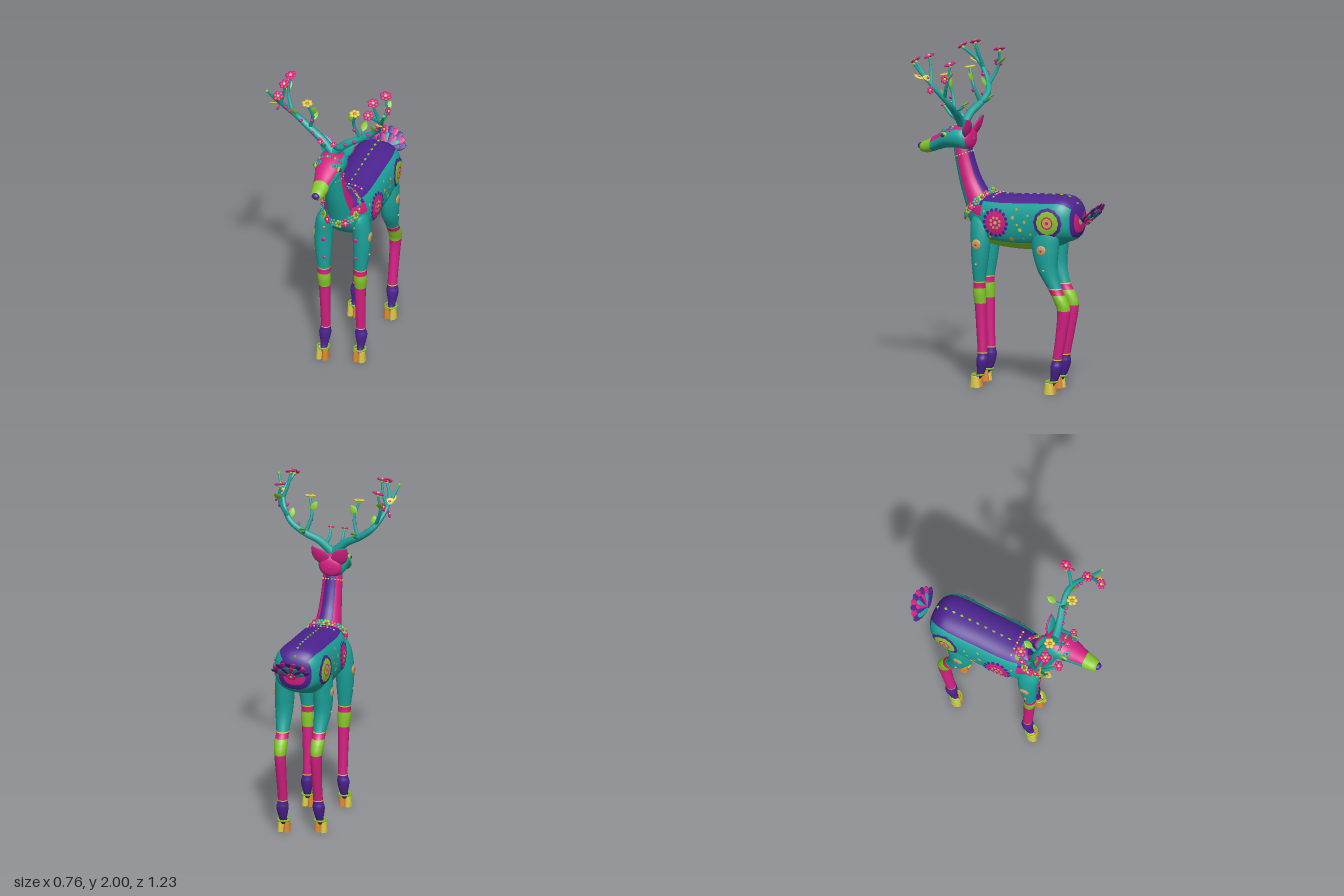
import * as THREE from 'three';

const mat = {};
const colours = { teal: 0x1ba39b, pink: 0xd42082, purple: 0x4c2390, lime: 0x86c82a, yellow: 0xdccb48, orange: 0xe08a2c, tan: 0xcfa45c };
for (const [name, color] of Object.entries(colours)) Object.assign(mat[name] = new THREE.MeshStandardMaterial({ color }), { name });
const V = (x, y, z) => new THREE.Vector3(x, y, z);
const UP = V(0, 1, 0), TURN = Math.PI * 2;

function group(parent, name) {
  const g = new THREE.Group();
  g.name = name;
  parent.add(g);
  return g;
}
function add(parent, name, geo, material, pos = [0, 0, 0], scale = [1, 1, 1]) {
  const m = new THREE.Mesh(geo, mat[material] || material);
  m.name = name;
  m.position.set(...pos);
  m.scale.set(...scale);
  parent.add(m);
  return m;
}

// Catmull-Rom resampling of station rows
function smooth(rows, steps) {
  const at = i => rows[Math.max(0, Math.min(rows.length - 1, i))];
  return Array.from({ length: steps + 1 }, (_, k) => {
    const f = k / steps * (rows.length - 1), i = Math.min(Math.floor(f), rows.length - 2), t = f - i;
    return rows[0].map((_, c) => {
      const [a, b, d, e] = [at(i - 1)[c], at(i)[c], at(i + 1)[c], at(i + 2)[c]];
      return 0.5 * (2 * b + (d - a) * t + (2 * a - 5 * b + 4 * d - e) * t * t + (3 * b - a - 3 * d + e) * t ** 3);
    });
  });
}

// Skin over rings [x, y, z, radiusX, radiusU]; tilt turns U from y towards z
function loft(parent, name, rings, n, tilt, power, paint) {
  const pos = [], faces = {}, pw = v => Math.sign(v) * Math.abs(v) ** (2 / power);
  rings.forEach(([x, y, z, rx, ru], i) => {
    for (let j = 0; j < n; j++) {
      const a = j / n * TURN, u = pw(Math.sin(a)) * Math.max(ru, 0.002);
      pos.push(x + pw(Math.cos(a)) * Math.max(rx, 0.002), y + u * Math.cos(tilt), z + u * Math.sin(tilt));
      if (i === rings.length - 1) continue;
      const next = rings[i + 1], A = i * n + j, B = i * n + (j + 1) % n;
      const key = paint(Math.sin((j + 0.5) / n * TURN), (y + next[1]) / 2, (z + next[2]) / 2);
      (faces[key] ||= []).push(A, B, A + n, B, B + n, A + n);
    }
  });
  const geo = new THREE.BufferGeometry(), keys = Object.keys(faces);
  geo.setAttribute('position', new THREE.Float32BufferAttribute(pos, 3));
  geo.setIndex(keys.flatMap(k => faces[k]));
  let start = 0;
  keys.forEach((k, i) => { geo.addGroup(start, faces[k].length, i); start += faces[k].length; });
  geo.computeVertexNormals();
  add(parent, name, geo, keys.map(k => mat[k]));
}

const ball = new THREE.SphereGeometry(1, 16, 12), bead = new THREE.SphereGeometry(1, 8, 6);
const dot = (parent, name, colour, pos, r) => add(parent, name, bead, colour, pos, [r, r, r]);
// Pointed leaf from y = 0 to 1
const leafGeo = new THREE.SphereGeometry(1, 12, 10);
for (let i = 0, p = leafGeo.attributes.position; i < p.count; i++) {
  const y = p.getY(i), k = Math.sqrt(Math.max(0, 1 - y * y));
  p.setXYZ(i, p.getX(i) * k, (y + 1) / 2, p.getZ(i) * k);
}
leafGeo.computeVertexNormals();

function flower(parent, name, pos, dir, r, petal, heart) {
  const g = group(parent, name);
  for (let i = 0; i < 6; i++) {
    const a = i / 6 * TURN;
    add(g, 'petal', bead, petal, [Math.cos(a) * r * 0.62, r * 0.12, Math.sin(a) * r * 0.62], [r * 0.38, r * 0.2, r * 0.38]);
  }
  dot(g, 'flowerHeart', heart, [0, r * 0.12, 0], r * 0.32);
  g.position.set(...pos);
  g.quaternion.setFromUnitVectors(UP, V(...dir).normalize());
}

// Tapered tube
function tine(parent, name, pts, r0, r1) {
  const curve = new THREE.CatmullRomCurve3(pts.map(p => V(...p))), seg = pts.length * 6;
  const geo = new THREE.TubeGeometry(curve, seg, 1, 8), p = geo.attributes.position, v = V(0, 0, 0);
  for (let i = 0; i < p.count; i++) {
    const t = Math.floor(i / 9) / seg, c = curve.getPointAt(t);
    v.fromBufferAttribute(p, i).sub(c).multiplyScalar(r0 + (r1 - r0) * t).add(c);
    p.setXYZ(i, v.x, v.y, v.z);
  }
  add(parent, name, geo, 'teal');
  dot(parent, name + 'Tip', 'lime', pts.at(-1), r1 * 1.4);
}

const bodyRings = smooth([[0, 1.03, -0.475, 0.004, 0.004], [0, 1.03, -0.465, 0.07, 0.07], [0, 1.03, -0.44, 0.115, 0.112],
  [0, 1.033, -0.39, 0.145, 0.137], [0, 1.015, -0.3, 0.157, 0.157], [0, 1.0, -0.15, 0.155, 0.163], [0, 0.995, 0, 0.155, 0.157],
  [0, 1.0, 0.1, 0.145, 0.15], [0, 1.01, 0.17, 0.122, 0.132], [0, 1.03, 0.22, 0.09, 0.1], [0, 1.04, 0.255, 0.055, 0.06], [0, 1.04, 0.27, 0.004, 0.004]], 66);
function bodyAt(z) {
  const i = Math.max(1, bodyRings.findIndex(r => r[2] >= z)), a = bodyRings[i - 1], b = bodyRings[i];
  return a.map((v, c) => v + (b[c] - v) * (z - a[2]) / (b[2] - a[2]));
}
const bulge = (d, r) => r * (1 - Math.min(1, Math.abs(d)) ** 2.5) ** 0.4;

// Painted ring or dot laid on the flank
function patch(parent, name, side, z0, y0, r0, r1, colour, wave = 0, lift = 0.005) {
  const geo = new THREE.RingGeometry(r0, r1, r1 > 0.02 ? 40 : 12, 3), p = geo.attributes.position;
  for (let i = 0; i < p.count; i++) {
    const a = p.getX(i), b = p.getY(i), k = 1 + wave * Math.cos(12 * Math.atan2(b, a));
    const z = z0 - a * side * k, y = y0 + b * k, [, cy, , rx, ry] = bodyAt(z);
    p.setXYZ(i, side * (bulge((y - cy) / ry, rx) + lift), y, z);
  }
  geo.computeVertexNormals();
  add(parent, name, geo, colour);
}

const toe = new THREE.CylinderGeometry(0.017, 0.022, 0.066, 8), rimGeo = new THREE.TorusGeometry(0.035, 0.006, 6, 20).rotateX(Math.PI / 2);
function buildLeg(parent, name, side, shift, rows, hoofZ) {
  const g = group(parent, name), rings = smooth(rows.map(([x, y, z, a, b]) => [x * side, y, z + shift, a, b]), 150);
  loft(g, name + 'Limb', rings, 20, Math.PI / 2, 2, (s, y) => y > 0.637 ? 'teal' : y > 0.629 ? 'yellow' : y > 0.595 ? 'pink'
    : y > 0.505 ? 'lime' : y > 0.212 ? 'pink' : y > 0.204 ? 'yellow' : 'purple');
  // Cloven hoof with a rim
  for (const t of [-1, 1]) add(g, 'hoofToe', toe, t > 0 ? 'yellow' : 'orange', [side * (0.105 + t * 0.018), 0.033, hoofZ + shift], [1, 1, 1.55]);
  add(g, 'hoofRim', rimGeo, 'lime', [side * 0.105, 0.075, hoofZ + shift - 0.01]);
  // Painted spots on the outside and front
  const spot = (y, r, c, dx, dz, kx, kz, size) => {
    const q = rings.find(row => row[1] <= y);
    add(g, 'legSpot', ball, c, [q[0] + side * (dx + kx * q[3]), y, q[2] + dz + kz * q[4]], size);
  };
  for (const [y, r, c, out] of [[0.86, 0.03, 'tan', -0.003], [0.86, 0.008, 'pink', 0.002], [0.74, 0.007, 'tan', 0]]) spot(y, r, c, out, 0, 1, 0, [0.008, r, r]);
  for (const [y, r, c] of [[0.94, 0.009, 'orange'], [0.85, 0.014, 'pink'], [0.72, 0.01, 'pink']]) spot(y, r, c, -0.02, 0, 0, 0.93, [r, r, 0.006]);
}

const headRings = smooth([[0, 1.46, 0.245, 0.004, 0.004], [0, 1.46, 0.255, 0.055, 0.05], [0, 1.46, 0.29, 0.08, 0.072], [0, 1.463, 0.34, 0.086, 0.07],
  [0, 1.455, 0.4, 0.08, 0.06], [0, 1.436, 0.45, 0.066, 0.052], [0, 1.412, 0.5, 0.053, 0.046], [0, 1.391, 0.55, 0.045, 0.04],
  [0, 1.383, 0.59, 0.034, 0.028], [0, 1.382, 0.61, 0.004, 0.004]], 54);
const frontLeg = [[0.095, 1.04, 0.145, 0.02, 0.03], [0.1, 0.98, 0.14, 0.048, 0.065], [0.11, 0.87, 0.14, 0.055, 0.06], [0.11, 0.75, 0.145, 0.05, 0.049],
  [0.105, 0.63, 0.15, 0.038, 0.036], [0.104, 0.56, 0.15, 0.04, 0.038], [0.102, 0.49, 0.145, 0.034, 0.034], [0.1, 0.35, 0.14, 0.03, 0.031],
  [0.1, 0.21, 0.133, 0.029, 0.029], [0.103, 0.16, 0.133, 0.036, 0.034], [0.104, 0.09, 0.142, 0.023, 0.024], [0.105, 0.05, 0.165, 0.018, 0.018]];
const hindLeg = [[0.095, 1.04, -0.31, 0.02, 0.04], [0.105, 0.96, -0.3, 0.05, 0.085], [0.11, 0.86, -0.295, 0.056, 0.084], [0.11, 0.74, -0.308, 0.051, 0.062],
  [0.105, 0.63, -0.355, 0.038, 0.042], [0.104, 0.56, -0.395, 0.04, 0.043], [0.102, 0.49, -0.413, 0.034, 0.04], [0.1, 0.35, -0.395, 0.03, 0.034],
  [0.1, 0.21, -0.37, 0.029, 0.03], [0.103, 0.16, -0.365, 0.036, 0.035], [0.104, 0.09, -0.352, 0.023, 0.024], [0.105, 0.05, -0.33, 0.018, 0.018]];
const tines = [[[0.3, 1.785, 0.33], [0.335, 1.86, 0.39], [0.37, 1.945, 0.445]], [[0.27, 1.735, 0.295], [0.31, 1.84, 0.255], [0.3, 1.935, 0.24]],
  [[0.318, 1.83, 0.36], [0.29, 1.91, 0.375], [0.28, 1.975, 0.39]], [[0.16, 1.645, 0.29], [0.13, 1.75, 0.32], [0.15, 1.845, 0.355]],
  [[0.05, 1.57, 0.325], [0.04, 1.6, 0.38], [0.042, 1.645, 0.42]], [[0.17, 1.65, 0.29], [0.16, 1.66, 0.25], [0.155, 1.68, 0.225]]];
const blooms = [[0.285, 1.95, 0.478, 0.033, 'pink', 0, 0.8], [0.3, 1.945, 0.24, 0.036, 'pink', 0.2, 0.3], [0.28, 1.98, 0.39, 0.034, 'pink', 0.2, 0.4],
  [0.15, 1.852, 0.355, 0.034, 'yellow', 0, 0.2], [0.042, 1.65, 0.42, 0.021, 'pink', 0, 0.3],
  [0.322, 1.86, 0.262, 0.028, 'pink', 3, 0], [0.33, 1.79, 0.352, 0.026, 'pink', 3, 0.6]];
const leaves = [[0.3, 1.85, 0.36, 0.6, 0.2, 0.35, 'yellow'], [0.325, 1.85, 0.4, 0.2, 0.3, 0.7, 'yellow'], [0.157, 1.67, 0.25, 0, 0.35, -0.6, 'lime'],
  [0.26, 1.72, 0.3, -0.2, 1, 0.5, 'lime'], [0.305, 1.85, 0.255, 0.2, 0.6, -0.5, 'lime'], [0.14, 1.77, 0.325, -0.5, 0.8, 0.2, 'lime']];
const flankDots = [[-0.1, 1.04, 0.012], [-0.15, 0.97, 0.012], [-0.2, 1.06, 0.008], [-0.09, 0.91, 0.013], [-0.22, 0.95, 0.008], [0.06, 0.91, 0.009],
  [-0.12, 1.09, 0.007], [-0.17, 0.92, 0.007], [0.1, 1.06, 0.008], [-0.13, 1.0, 0.007], [-0.18, 1.02, 0.01]];

export function createModel() {
  const deer = new THREE.Group();
  deer.name = 'deer';
  loft(deer, 'body', bodyRings, 56, 0, 2.5, (s, y, z) => z > 0.13 ? (s > 0.5 ? 'purple' : s > 0.1 ? 'pink' : 'teal') : s > 0.74 ? 'purple'
    : z < -0.473 ? 'lime' : z < -0.466 ? 'pink' : z < -0.452 ? 'purple' : s < -0.64 && z > -0.34 ? 'lime' : 'teal');

  // Flank rosettes and scattered dots
  for (const s of [-1, 1]) {
    patch(deer, 'shoulderRosette', s, 0.015, 1, 0, 0.072, 'pink', 0.03);
    patch(deer, 'rosetteHeart', s, 0.015, 1, 0, 0.011, 'yellow', 0, 0.008);
    for (let i = 0; i < 16; i++) {
      const a = i / 16 * TURN, c = Math.cos(a), n = Math.sin(a);
      patch(deer, 'rosetteEdge', s, 0.015 + 0.077 * c, 1 + 0.077 * n, 0, 0.011, 'purple', 0, 0.008);
      if (i % 2) patch(deer, 'rosettePetal', s, 0.015 + 0.031 * c, 1 + 0.031 * n, 0, 0.009, 'tan', 0, 0.008);
    }
    const radii = [0, 0.01, 0.029, 0.037, 0.069, 0.087];
    ['pink', 'tan', 'pink', 'lime', 'purple'].forEach((c, i) => patch(deer, 'haunchRosette', s, -0.33, 1.025, radii[i], radii[i + 1], c, 0.03));
    flankDots.forEach(([z, y, r], i) => patch(deer, 'flankDot', s, z, y, 0, r, ['tan', 'yellow', 'tan', 'orange'][i % 4]));
  }

  // Diamonds along the spine and a row of dots behind the garland
  const diamond = new THREE.CylinderGeometry(1, 1, 1, 4), [, backY, , backX, backR] = bodyAt(0.07);
  for (let i = 0; i < 10; i++) {
    const z = 0.02 - i * 0.052, b = bodyAt(z);
    add(deer, 'spineDiamond', diamond, 'lime', [0, b[1] + b[4], z], [0.006 + i * 0.0004, 0.007, 0.012]);
  }
  for (let i = -4; i <= 4; i++) dot(deer, 'backDot', i % 2 ? 'pink' : 'yellow', [i * 0.02, backY + bulge(i * 0.02 / backX, backR), 0.07], 0.007);

  loft(deer, 'neck', smooth([[0, 1.03, 0.175, 0.09, 0.095], [0, 1.1, 0.212, 0.08, 0.083], [0, 1.2, 0.262, 0.068, 0.067], [0, 1.3, 0.295, 0.061, 0.059],
    [0, 1.38, 0.315, 0.058, 0.056], [0, 1.43, 0.325, 0.05, 0.05]], 30), 32, -1.2, 2, s => s > 0.78 ? 'purple' : s > -0.3 ? 'pink' : 'teal');
  // Flower garland at the base of the neck, beads at its top
  for (let i = 0; i < 18; i++) {
    const a = i / 18 * TURN, c = Math.cos(a), s = Math.sin(a);
    flower(deer, 'garlandFlower', [0.11 * c, 1.078 - 0.078 * s, 0.197 + 0.08 * s], [c, 0.5 - 0.4 * s, s], 0.028,
      ['pink', 'lime', 'teal'][i % 3], ['yellow', 'pink', 'orange'][i % 3]);
    dot(deer, 'neckBead', 'yellow', [0.058 * c, 1.365 - 0.02 * s, 0.31 + 0.053 * s], 0.005);
  }

  loft(deer, 'head', headRings, 32, 0, 2.1, (s, y, z) => z > 0.515 ? 'lime' : z < 0.272 || s > (z < 0.4 ? 0.74 : 0.3) ? 'pink' : 'teal');
  add(deer, 'nose', ball, 'purple', [0, 1.388, 0.598], [0.024, 0.02, 0.021]);
  for (let i = -4; i <= 4; i++) {
    dot(deer, 'browBead', ['teal', 'pink', 'lime'][(i + 6) % 3], [i * 0.016, 1.459 + 0.066 * Math.sqrt(1 - (i * 0.016 / 0.084) ** 2), 0.37], 0.009);
  }

  for (const s of [-1, 1]) {
    // Eyes and ears
    add(deer, 'eyeRim', ball, 'lime', [s * 0.072, 1.478, 0.41], [0.012, 0.018, 0.024]);
    add(deer, 'eye', ball, 'purple', [s * 0.077, 1.478, 0.412], [0.011, 0.012, 0.016]);
    flower(deer, 'browFlower', [s * 0.05, 1.502, 0.42], [s * 0.6, 1, 0.4], 0.02, 'teal', 'pink');
    const ear = group(deer, 'ear');
    add(ear, 'earFront', leafGeo, 'teal', [0, 0, 0.006], [0.043, 0.165, 0.01]);
    add(ear, 'earBack', leafGeo, 'pink', [0, 0, -0.004], [0.046, 0.167, 0.012]);
    ear.position.set(s * 0.008, 1.46, 0.28);
    ear.rotation.set(-0.3, 0, -s * 0.64);

    // Antler with blossoming tines
    const antler = group(deer, 'antler'), X = pts => pts.map(([x, y, z]) => [s * x, y, z]);
    tine(antler, 'antlerBeam', X([[0.004, 1.53, 0.32], [0.08, 1.6, 0.31], [0.17, 1.65, 0.288], [0.25, 1.71, 0.285],
      [0.31, 1.8, 0.34], [0.322, 1.87, 0.4], [0.285, 1.94, 0.475]]), 0.027, 0.008);
    for (const t of tines) tine(antler, 'antlerTine', X(t), 0.012, 0.007);
    for (const [x, y, z, r, c, dx, dz] of blooms) flower(antler, 'blossom', [s * x, y, z], [s * dx, 1, dz], r, c, c === 'pink' ? 'yellow' : 'orange');
    for (const [x, y, z, a, b, c, col] of leaves) {
      const leaf = add(antler, 'antlerLeaf', leafGeo, col, [s * x, y, z], [0.021, 0.07, 0.005]);
      leaf.quaternion.setFromUnitVectors(UP, V(s * a, b, c).normalize());
      if (col === 'yellow') add(leaf, 'leafHeart', leafGeo, 'pink', [0, 0.25, 0], [0.5, 0.5, 1.3]);
    }
    for (const [x, y, z] of [[0.08, 1.605, 0.33], [0.13, 1.63, 0.318], [0.21, 1.69, 0.303], [0.275, 1.755, 0.325], [0.29, 1.79, 0.345], [0.135, 1.72, 0.325]]) {
      dot(antler, 'antlerBud', 'pink', [s * x, y, z], 0.011);
    }

    // Legs, staggered in a slow step
    buildLeg(deer, 'frontLeg', s, s > 0 ? 0 : 0.055, frontLeg, 0.17);
    buildLeg(deer, 'hindLeg', s, s > 0 ? 0 : 0.055, hindLeg, -0.325);
  }

  // Round fan tail with layered feathers
  const tail = group(deer, 'tail');
  for (const [count, len, z, width, cols] of [[9, 0.071, 0, 0.03, ['purple', 'pink']], [8, 0.05, -0.006, 0.024, ['teal', 'purple', 'teal', 'pink']],
    [8, 0.05, 0.006, 0.024, ['teal', 'purple', 'pink']]]) {
    for (let i = 0; i < count; i++) {
      const a = (i / (count - 1) - 0.5) * 2.5;
      add(tail, 'tailFeather', bead, cols[i % cols.length], [Math.sin(a) * len * 0.75, 0.01 + Math.cos(a) * len, z], [width, len, 0.006]).rotation.z = -a;
    }
  }
  flower(tail, 'tailFlower', [0, 0.015, -0.008], [0, 0, -1], 0.032, 'pink', 'lime');
  tail.position.set(0, 1.03, -0.515);
  tail.rotation.x = -0.7;
  return deer;
}
